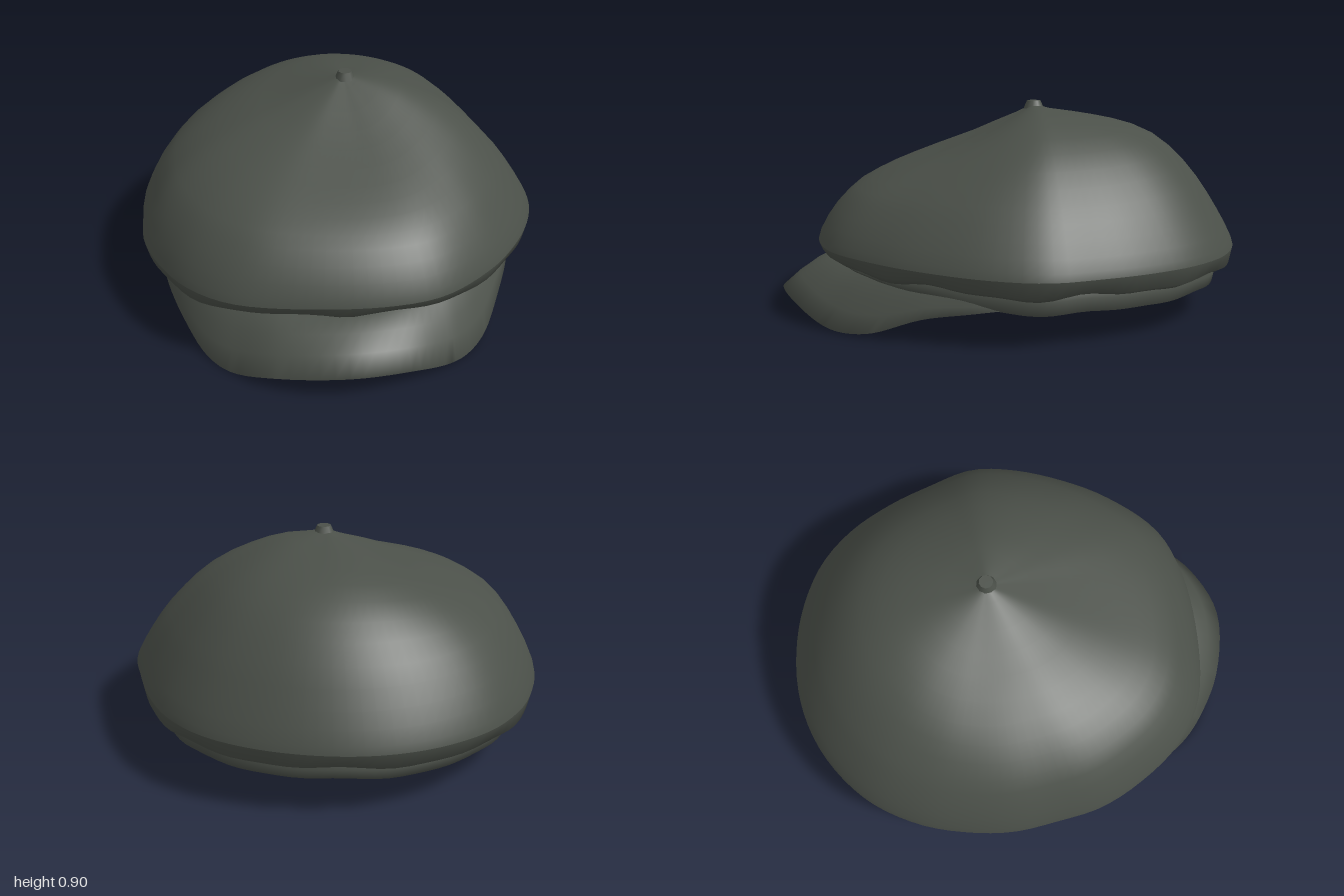
import * as THREE from 'three';

const felt = new THREE.MeshStandardMaterial({ color: 0x4b5049 });
felt.name = 'dark grey green felt';
felt.side = THREE.DoubleSide;

// Skin a list of cross-section rings, each an array of Vector3
function loft(rings, closed) {
  const n = rings[0].length, pos = [], idx = [];
  rings.forEach(r => r.forEach(p => pos.push(p.x, p.y, p.z)));
  for (let i = 0; i < rings.length - 1; i++) {
    for (let j = 0; j < (closed ? n : n - 1); j++) {
      const k = (j + 1) % n;
      const a = i * n + j, b = a + n, c = i * n + k, d = c + n;
      idx.push(a, b, c, b, d, c);
    }
  }
  const g = new THREE.BufferGeometry();
  g.setAttribute('position', new THREE.Float32BufferAttribute(pos, 3));
  g.setIndex(idx);
  g.computeVertexNormals();
  return g;
}

function curve(points, closed) {
  return new THREE.CatmullRomCurve3(points.map(p => new THREE.Vector3(...p)), closed);
}

// Widest outline of the crown, seen from above (x, z)
const outline = curve([
  [0.1, 0.84], [0.34, 0.785], [0.57, 0.6], [0.715, 0.41], [0.825, 0.2], [0.875, 0], [0.835, -0.22],
  [0.78, -0.42], [0.68, -0.635], [0.525, -0.81], [0.27, -0.945], [-0.05, -1], [-0.33, -0.95],
  [-0.585, -0.8], [-0.745, -0.6], [-0.83, -0.4], [-0.875, -0.2], [-0.875, 0], [-0.86, 0.2],
  [-0.79, 0.4], [-0.67, 0.6], [-0.5, 0.74], [-0.25, 0.815],
].map(([x, z]) => [x, 0, z]), true).getSpacedPoints(96).slice(0, 96);

const APEX = new THREE.Vector3(0.03, 0, -0.1);

// One ring: t is the fraction from apex to outline; heights for left (+x), right, front, back
function ring(t, [left, right, front, back], wave = 0) {
  return outline.map((o, j) => {
    const dx = o.x - APEX.x, dz = o.z - APEX.z, s = (dx * dx) / (dx * dx + dz * dz);
    const y = s * (dx > 0 ? left : right) + (1 - s) * (dz > 0 ? front : back);
    const a = (j / outline.length) * Math.PI * 2;
    const ripple = wave * (Math.sin(a * 9) + 0.6 * Math.sin(a * 17 + 1));
    return new THREE.Vector3(APEX.x + dx * t, y + ripple, APEX.z + dz * t);
  });
}

// Crown profile from apex to rim
const profile = [
  [0, [0.89, 0.89, 0.89, 0.89]],
  [0.08, [0.88, 0.86, 0.85, 0.87]],
  [0.2, [0.868, 0.825, 0.795, 0.855]],
  [0.3, [0.845, 0.79, 0.75, 0.84]],
  [0.4, [0.81, 0.762, 0.71, 0.822]],
  [0.5, [0.768, 0.73, 0.673, 0.797]],
  [0.6, [0.713, 0.69, 0.637, 0.757]],
  [0.68, [0.655, 0.652, 0.607, 0.705]],
  [0.75, [0.594, 0.61, 0.577, 0.645]],
  [0.82, [0.527, 0.56, 0.542, 0.57]],
  [0.87, [0.47, 0.51, 0.503, 0.505]],
  [0.92, [0.405, 0.445, 0.453, 0.432]],
  [0.96, [0.348, 0.375, 0.4, 0.37]],
  [0.99, [0.3, 0.31, 0.347, 0.315]],
  [1, [0.27, 0.27, 0.315, 0.285]],
];

// Visor edges, running from the right end round to the left end
const visorOuter = [
  [-0.8, 0.15, 0.1], [-0.76, 0.12, 0.32], [-0.69, 0.07, 0.52], [-0.605, 0.012, 0.68],
  [-0.51, 0.005, 0.79], [-0.33, 0.06, 0.92], [-0.05, 0.1, 1], [0.2, 0.075, 0.945],
  [0.38, 0.022, 0.84], [0.47, 0.01, 0.76], [0.555, 0.025, 0.65], [0.65, 0.095, 0.46],
  [0.72, 0.125, 0.28], [0.77, 0.15, 0.1],
];
const visorInner = [
  [-0.78, 0.2, 0.08], [-0.74, 0.21, 0.28], [-0.66, 0.22, 0.42], [-0.58, 0.23, 0.52],
  [-0.47, 0.24, 0.6], [-0.3, 0.245, 0.68], [-0.03, 0.25, 0.71], [0.18, 0.25, 0.7],
  [0.35, 0.24, 0.63], [0.44, 0.235, 0.56], [0.51, 0.23, 0.49], [0.59, 0.22, 0.39],
  [0.69, 0.21, 0.25], [0.74, 0.2, 0.08],
];

function visorGeometry() {
  const outer = curve(visorOuter, false).getPoints(65);
  const inner = curve(visorInner, false).getPoints(65);
  const row = (f, lift) => inner.map((p, j) => {
    const v = p.clone().lerp(outer[j], f);
    v.y += lift * Math.sin((j / 65) * Math.PI);
    return v;
  });
  // top surface outwards, then underside back to the band
  return loft([
    row(0, 0), row(0.25, 0.025), row(0.5, 0.035), row(0.75, 0.025), row(1, 0),
    row(0.75, 0), row(0.5, 0.005), row(0.25, -0.005), row(0, -0.02),
  ], false);
}

export function createModel() {
  const cap = new THREE.Group();
  cap.name = 'flatCap';
  const add = (name, geometry) => {
    const mesh = new THREE.Mesh(geometry, felt);
    mesh.name = name;
    cap.add(mesh);
    return mesh;
  };

  // Full, slightly lopsided cloth crown
  add('crown', loft(profile.map(([t, h]) => ring(t, h)), true));

  // Tucked underside of the crown
  add('crownUnderside', loft([
    ring(1, [0.27, 0.27, 0.315, 0.285]),
    ring(0.985, [0.21, 0.21, 0.28, 0.225], 0.006),
    ring(0.94, [0.195, 0.195, 0.25, 0.205], 0.009),
    ring(0.89, [0.22, 0.22, 0.25, 0.22]),
  ], true));

  // Head band, fading into the visor at the front
  add('headBand', loft([
    ring(0.89, [0.23, 0.23, 0.25, 0.23]),
    ring(0.915, [0.18, 0.18, 0.245, 0.18], 0.003),
    ring(0.905, [0.125, 0.125, 0.235, 0.14], 0.004),
    ring(0.88, [0.125, 0.125, 0.235, 0.14], 0.004),
    ring(0.87, [0.25, 0.25, 0.29, 0.25]),
  ], true));

  // Thin inner lining following the crown
  const lining = profile.slice(0, 13).reverse()
    .map(([t, h]) => ring(t * 0.975, h.map(y => y * 0.98)));
  add('lining', loft([ring(0.87, [0.25, 0.25, 0.29, 0.25]), ...lining], true));

  add('visor', visorGeometry());

  // Small gathered nub on top
  const button = add('button', new THREE.CylinderGeometry(0.03, 0.045, 0.035, 10));
  button.position.set(0.04, 0.888, -0.1);
  return cap;
}
